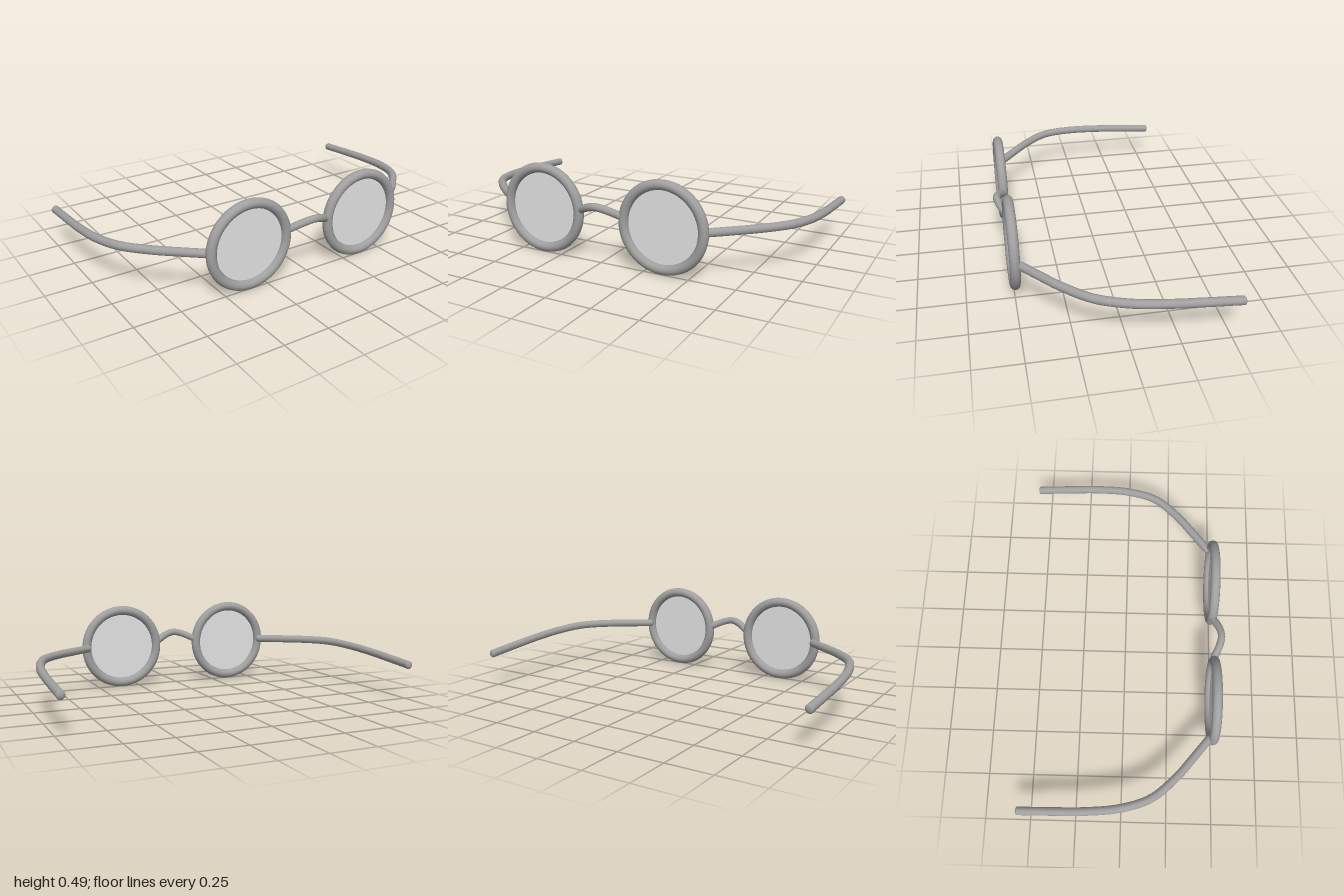
import * as THREE from 'three';

export function createModel() {
  const group = new THREE.Group();
  group.name = 'glasses';
  const frame = new THREE.MeshStandardMaterial({ color: 0xa0a0a0 });
  frame.name = 'grey metal frame';
  const glass = new THREE.MeshStandardMaterial({ color: 0xe3e3e3, side: THREE.DoubleSide });
  glass.name = 'pale grey glass';

  const add = (name, geometry, material, x = 0, y = 0, z = 0, parent = group) => {
    const mesh = new THREE.Mesh(geometry, material);
    mesh.name = name;
    mesh.position.set(x, y, z);
    parent.add(mesh);
    return mesh;
  };
  const wire = (points, segments, radius) => new THREE.TubeGeometry(
    new THREE.CatmullRomCurve3(points.map(p => new THREE.Vector3(...p))), segments, radius, 10);

  const WIRE = 0.023;
  for (const [side, s] of [['left', 1], ['right', -1]]) {
    // Round rim and its flat lens
    add(side + 'Rim', new THREE.TorusGeometry(0.22, 0.027, 12, 56), frame, s * 0.355, 0.248, 0.495);
    add(side + 'Lens', new THREE.CircleGeometry(0.205, 48), glass, s * 0.355, 0.248, 0.495);

    // Temple arm sweeping out and back, dropping slightly to its tip
    const path = [
      [0.575, 0.25, 0.468], [0.68, 0.252, 0.383], [0.785, 0.254, 0.294], [0.9, 0.253, 0.16],
      [0.954, 0.243, 0], [0.974, 0.23, -0.187], [0.977, 0.216, -0.37], [0.977, 0.202, -0.55],
    ].map(([x, y, z]) => [s * x, y, z]);
    const temple = new THREE.Group();
    temple.name = side + 'Temple';
    group.add(temple);
    add(side + 'Arm', wire(path, 40, WIRE), frame, 0, 0, 0, temple);

    // Shallow rounded caps at the tip and the hinge
    [path[path.length - 1], path[0]].forEach((p, i) => {
      const cap = add(side + (i ? 'HingeCap' : 'TipCap'), new THREE.SphereGeometry(WIRE, 10, 8), frame, ...p, temple);
      cap.scale.z = i ? 0.9 : 0.5;
    });
  }

  // Nose bridge arching up and forward between the rims
  add('bridge', wire([
    [-0.13, 0.268, 0.493], [-0.105, 0.28, 0.505], [-0.05, 0.304, 0.53], [0, 0.314, 0.54],
    [0.05, 0.304, 0.53], [0.105, 0.28, 0.505], [0.13, 0.268, 0.493],
  ], 24, 0.021), frame);

  return group;
}
